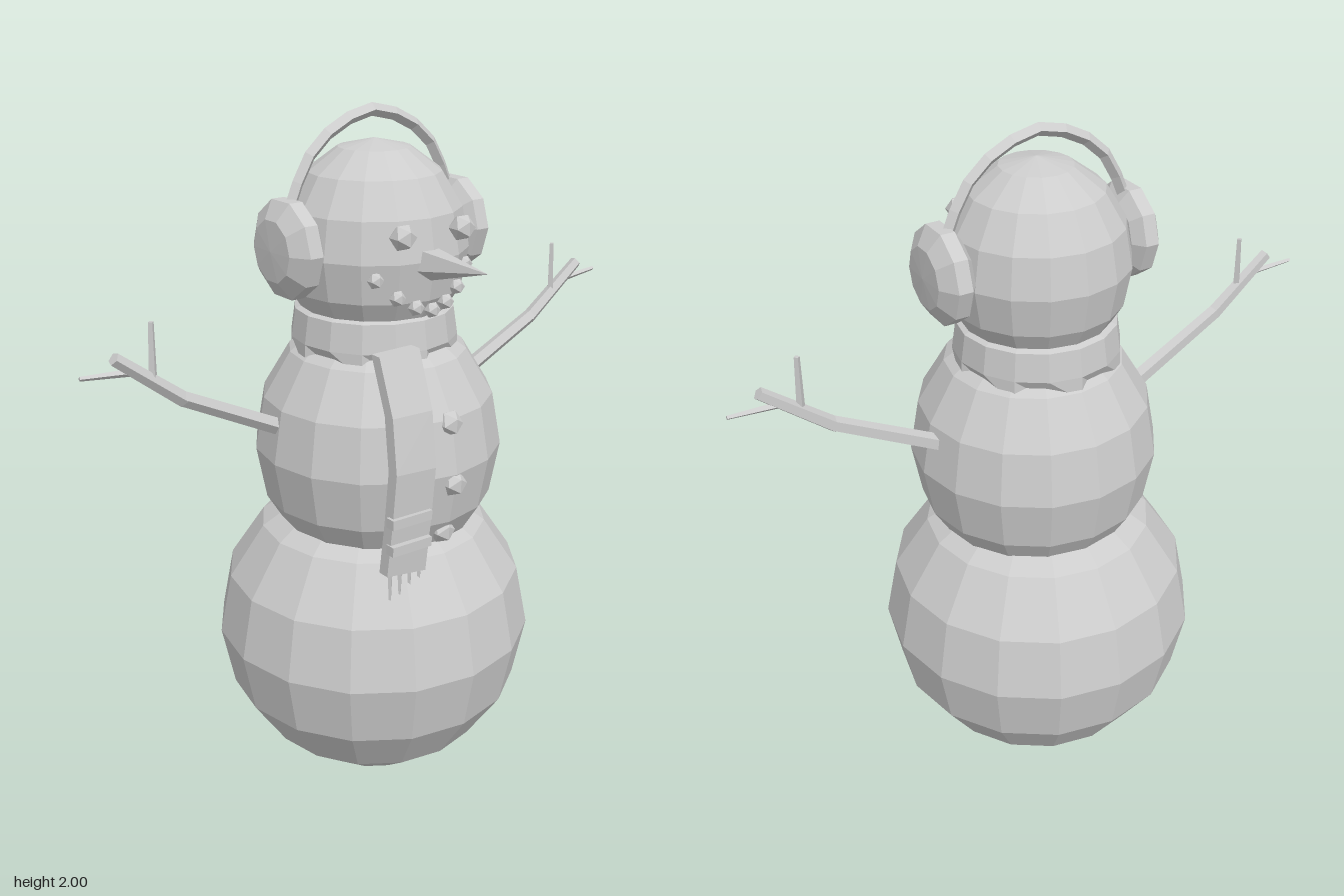
import * as THREE from 'three';

const V = (x, y, z) => new THREE.Vector3(x, y, z);

export function createModel() {
  const model = new THREE.Group();
  const grey = new THREE.MeshStandardMaterial({ color: 0xcccccc, flatShading: true });
  grey.name = 'plain grey';

  const add = (name, geometry, x = 0, y = 0, z = 0) => {
    const mesh = new THREE.Mesh(geometry, grey);
    mesh.name = name;
    mesh.position.set(x, y, z);
    model.add(mesh);
    return mesh;
  };

  // Tapered stick between two points
  const stick = (name, a, b, ra, rb, sides) => {
    const dir = b.clone().sub(a);
    const mid = a.clone().add(b).multiplyScalar(0.5);
    const mesh = add(name, new THREE.CylinderGeometry(rb, ra, dir.length(), sides), mid.x, mid.y, mid.z);
    mesh.quaternion.setFromUnitVectors(V(0, 1, 0), dir.normalize());
    return mesh;
  };

  // Snowballs: the lowest one stands on a flattened base
  const base = new THREE.SphereGeometry(0.475, 16, 8);
  const bp = base.attributes.position;
  for (let i = 0; i < bp.count; i++) if (bp.getY(i) < -0.42) bp.setY(i, -0.455);
  add('lowerBody', base, 0, 0.455, -0.015);
  add('middleBody', new THREE.SphereGeometry(0.36, 16, 8), 0.005, 1.045, 0).scale.y = 1.11;
  add('head', new THREE.SphereGeometry(0.263, 16, 8), 0, 1.62, -0.008).scale.y = 1.1;

  // Scarf wrap with a scalloped lower edge
  const wrap = new THREE.LatheGeometry(
    [[0.2, 1.3], [0.238, 1.37], [0.226, 1.45], [0.18, 1.47]].map(([r, y]) => new THREE.Vector2(r, y)), 16);
  const wp = wrap.attributes.position;
  for (let i = 0; i < wp.count; i++) {
    const column = Math.floor(i / 4);
    if (i % 4 === 0 && column % 2 === 0) wp.setXYZ(i, wp.getX(i) * 1.2, wp.getY(i), wp.getZ(i) * 1.2);
  }
  add('scarfWrap', wrap, 0, 0, -0.01);

  // Hanging scarf end, bent over the chest
  const tail = new THREE.BoxGeometry(1, 1, 1, 1, 4, 1);
  const tp = tail.attributes.position;
  const front = [0.25, 0.32, 0.35, 0.345, 0.335];
  for (let i = 0; i < tp.count; i++) {
    const t = 0.5 - tp.getY(i);
    tp.setXYZ(i,
      -0.1125 - 0.0375 * t + tp.getX(i) * 0.135,
      1.39 - 0.61 * t - 0.02 * tp.getX(i) * t,
      front[Math.round(t * 4)] + (tp.getZ(i) - 0.5) * 0.035);
  }
  add('scarfTail', tail);
  for (const y of [0.95, 0.87]) {
    const stripe = add('scarfStripe', new THREE.BoxGeometry(0.135, 0.028, 0.03), -0.148, y, 0.343);
    stripe.rotation.z = -0.03;
  }
  for (let i = 0; i < 4; i++) {
    const x = -0.2 + i * 0.034;
    stick('scarfFringe', V(x, 0.8, 0.325), V(x, 0.71 + i * 0.006, 0.325), 0.009, 0.004, 4);
  }

  // Buttons
  for (const [y, z] of [[1.185, 0.322], [1.015, 0.345], [0.855, 0.3]])
    add('button', new THREE.IcosahedronGeometry(0.038, 0), 0.005, y, z);

  // Eyes, mouth and nose
  for (const s of [-1, 1]) add('eye', new THREE.IcosahedronGeometry(0.037, 0), s * 0.1, 1.695, 0.245);
  const mouthY = [1.487, 1.5, 1.53, 1.58];
  for (let i = -3; i <= 3; i++) {
    const x = i * 0.051;
    const z = Math.sqrt(0.262 ** 2 - x * x) - 0.015;
    add('mouthPebble', new THREE.IcosahedronGeometry(0.023, 0), x, mouthY[Math.abs(i)], z);
  }
  stick('nose', V(-0.005, 1.61, 0.2), V(-0.012, 1.632, 0.47), 0.054, 0.001, 5);

  // Ear muffs joined by a band over the head
  const cup = new THREE.LatheGeometry(
    [[0, 0.23], [0.1, 0.24], [0.135, 0.265], [0.135, 0.305], [0.085, 0.338], [0, 0.342]]
      .map(([r, y]) => new THREE.Vector2(r, y)), 10);
  for (const s of [-1, 1])
    add('earMuff', cup, 0, 1.645, -0.01).rotation.z = -s * Math.PI / 2;
  const arc = new THREE.CatmullRomCurve3(
    [[-0.275, 1.74], [-0.245, 1.81], [-0.195, 1.89], [-0.12, 1.945], [0, 1.982],
      [0.12, 1.945], [0.195, 1.89], [0.245, 1.81], [0.275, 1.74]].map(([x, y]) => V(x, y, -0.018)));
  add('headBand', new THREE.TubeGeometry(arc, 10, 0.018, 4, false));

  // Branch arms with twigs
  for (const s of [-1, 1]) {
    const shoulder = V(s * 0.3, 1.135, -0.028), elbow = V(s * 0.625, 1.3, -0.015), tip = V(s * 0.81, 1.445, -0.01);
    stick('upperArm', shoulder, elbow, 0.025, 0.022, 5);
    stick('forearm', elbow.clone().lerp(tip, -0.04), tip, 0.022, 0.018, 5);
    stick('twig', V(s * 0.705, 1.36, -0.012), V(s * 0.7, 1.52, -0.012), 0.012, 0.008, 4);
    stick('twig', V(s * 0.75, 1.398, -0.012), V(s * 0.9, 1.408, -0.02), 0.011, 0.006, 4);
  }
  return model;
}
